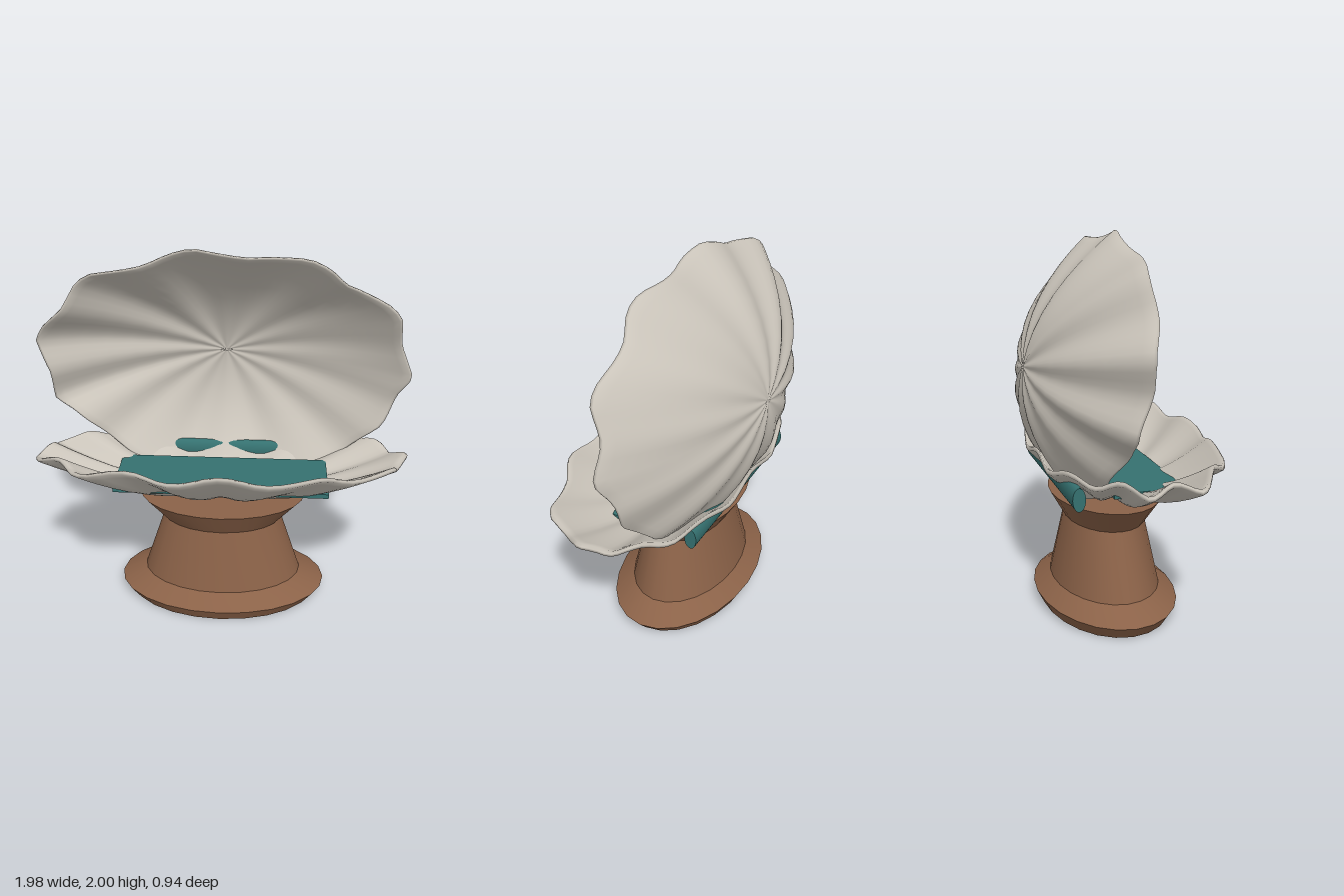
import * as THREE from 'three';
import { toCreasedNormals } from 'three/addons/utils/BufferGeometryUtils.js';

const SEGMENTS = 96;
const FLUTES = 12;
const THICKNESS = 0.03;

// Wavy shell outline (u across, v from hinge to lip), both about -1..1
const OUTLINE = [
  [0, 0.96], [0.13, 0.93], [0.42, 0.93], [0.53, 0.86], [0.61, 0.74], [0.7, 0.68], [0.83, 0.59],
  [0.9, 0.49], [0.92, 0.26], [0.99, 0], [0.93, -0.17], [0.9, -0.32], [0.86, -0.45], [0.78, -0.56],
  [0.65, -0.75], [0.5, -0.86], [0.25, -0.95], [0, -0.94], [-0.25, -0.95], [-0.48, -0.84],
  [-0.62, -0.68], [-0.72, -0.53], [-0.82, -0.39], [-0.93, -0.28], [-0.93, -0.03], [-0.99, 0.23],
  [-0.94, 0.36], [-0.83, 0.51], [-0.75, 0.7], [-0.67, 0.78], [-0.4, 0.86], [-0.27, 0.94], [-0.15, 0.99],
];

// Fluted bowl: outer skin from apex to rim, then inner skin back to the apex.
// place(u, v, h) maps outline coordinates and depth into the model.
function shellGeometry({ depth, power, tilt, ripple, place, flip }) {
  const curve = new THREE.CatmullRomCurve3(
    OUTLINE.map(([u, v]) => new THREE.Vector3(u, v, 0)), true, 'catmullrom', 0.2);
  const rim = curve.getSpacedPoints(SEGMENTS).slice(0, SEGMENTS);
  const steps = [0.01, 0.06, 0.15, 0.27, 0.4, 0.53, 0.66, 0.78, 0.88, 0.95, 1];
  const rings = [
    ...steps.map((t) => [t, 0]),
    [1, THICKNESS * 0.5],
    ...steps.slice().reverse().map((t) => [t === 1 ? 0.985 : t, THICKNESS]),
  ];
  const positions = [];
  const index = [];
  for (const [t, lift] of rings) {
    for (const p of rim) {
      const wave = Math.cos(FLUTES * Math.atan2(p.x, p.y));
      const h = depth * t ** power + tilt * p.y * t + ripple * wave * t ** 0.8 + lift;
      positions.push(...place(p.x * t, p.y * t, h));
    }
  }
  for (let j = 0; j < rings.length - 1; j++) {
    for (let i = 0; i < SEGMENTS; i++) {
      const n = (i + 1) % SEGMENTS;
      const a = j * SEGMENTS + i, b = j * SEGMENTS + n;
      const c = a + SEGMENTS, d = b + SEGMENTS;
      if (flip) index.push(a, c, d, a, d, b);
      else index.push(a, d, c, a, b, d);
    }
  }
  // Close both small apex holes
  const last = (rings.length - 1) * SEGMENTS;
  for (let i = 1; i < SEGMENTS - 1; i++) {
    if (flip) index.push(0, i, i + 1, last, last + i + 1, last + i);
    else index.push(0, i + 1, i, last, last + i, last + i + 1);
  }
  const geometry = new THREE.BufferGeometry();
  geometry.setAttribute('position', new THREE.Float32BufferAttribute(positions, 3));
  geometry.setIndex(index);
  geometry.computeVertexNormals();
  return geometry;
}

export function createModel() {
  const group = new THREE.Group();
  const material = (name, color) => {
    const m = new THREE.MeshStandardMaterial({ color });
    m.name = name;
    return m;
  };
  const pearl = material('pearl grey', 0xcbc5bb);
  const brown = material('warm brown', 0x8b6248);
  const teal = material('deep teal', 0x357170);

  const add = (name, geometry, mat, x = 0, y = 0, z = 0) => {
    const mesh = new THREE.Mesh(geometry, mat);
    mesh.name = name;
    mesh.position.set(x, y, z);
    group.add(mesh);
    return mesh;
  };

  // Flared oval pedestal with a closed top and bottom
  const profile = [[0, 0], [0.53, 0], [0.585, 0.07], [0.445, 0.14], [0.33, 0.49], [0.455, 0.63], [0, 0.63]]
    .map(([r, y]) => new THREE.Vector2(r, y));
  const pedestal = new THREE.LatheGeometry(profile, 24);
  pedestal.scale(1, 1, 0.64);
  add('pedestal', toCreasedNormals(pedestal, 0.5), brown, 0, 0, -0.025);

  // Lower shell lies as a seat bowl
  add('lowerShell', shellGeometry({
    depth: 0.25, power: 2, tilt: 0.06, ripple: 0.022, flip: false,
    place: (u, v, h) => [u, 0.64 + h, 0.03 * Math.hypot(u, v) + 0.445 * v],
  }), pearl);

  // Upper shell stands open as a backrest
  add('upperShell', shellGeometry({
    depth: 0.34, power: 2.1, tilt: 0.11, ripple: 0.016, flip: true,
    place: (u, v, h) => [u, 1.32 + 0.69 * v, -0.455 + h],
  }), pearl);

  // Flat seat cushion sunk into the bowl
  add('seatCushion', new THREE.BoxGeometry(1.14, 0.025, 0.37), teal, 0, 0.768, 0.045);

  // Oval hinge rod at the back
  const rod = new THREE.CylinderGeometry(0.06, 0.06, 1.04, 24);
  rod.rotateZ(Math.PI / 2);
  rod.scale(1, 1, 0.55);
  add('hingeRod', rod, teal, 0, 0.75, -0.3);

  return group;
}
